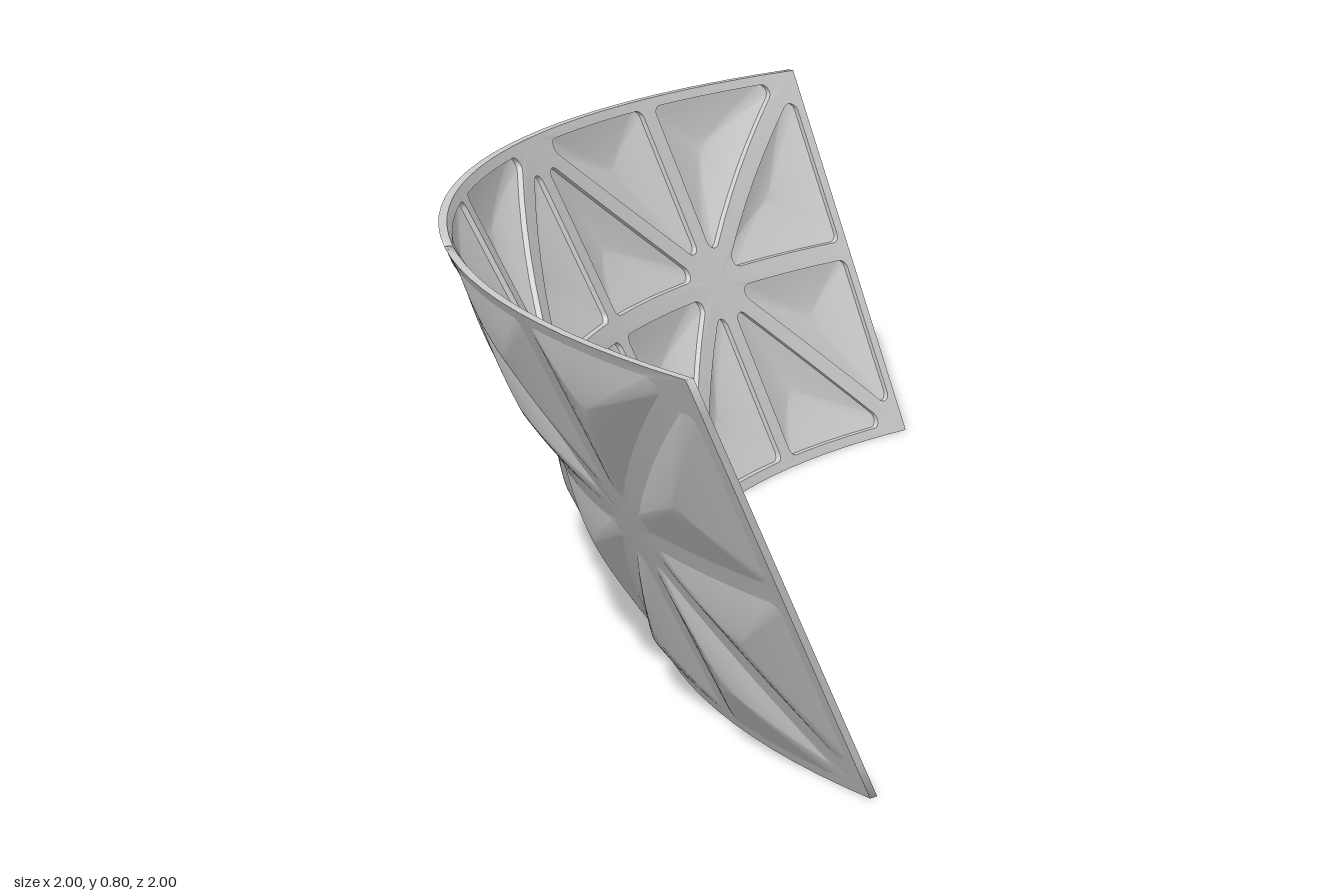
import * as THREE from 'three';
import { mergeGeometries, mergeVertices } from 'three/addons/utils/BufferGeometryUtils.js';

const HEIGHT = 0.8, R_BOTTOM = 1.6, R_TOP = 2, R_MID = 1.8;
const SLANT = Math.hypot(HEIGHT, R_TOP - R_BOTTOM);
const BAY = Math.PI / 6;        // each bay spans 30 degrees
const THICK = 0.016;            // wall thickness at the struts
const SKIN = 0.004;             // thickness of the pillow skin
const MARGIN = 0.022, CORNER = 0.02, BULGE = 0.028;
const EDGE_STEPS = 6, ARC_STEPS = 5, RINGS = 6;

// Unrolled wall coordinates (a along the arc, w up the slope) and outward offset d
function onWall(a, w, d) {
  const angle = a / R_MID, f = w / SLANT;
  const r = R_BOTTOM + (R_TOP - R_BOTTOM) * f + d;
  return [1 - r * Math.sin(angle), HEIGHT * f, 1 - r * Math.cos(angle)];
}

// Joins closed or open rows of wall points into one surface
function strip(rows, inward, closed = true) {
  const n = rows[0].length, index = [];
  for (let j = 0; j < rows.length - 1; j++) {
    for (let k = 0; k < (closed ? n : n - 1); k++) {
      const a = j * n + k, b = j * n + (k + 1) % n, c = b + n, d = a + n;
      if (inward) index.push(a, c, b, a, d, c);
      else index.push(a, b, c, a, c, d);
    }
  }
  const g = new THREE.BufferGeometry();
  g.setAttribute('position', new THREE.Float32BufferAttribute(rows.flat().flatMap(p => onWall(...p)), 3));
  g.setIndex(index);
  return g;
}

const atDepth = (points, d) => points.map(p => [p.x, p.y, d]);

// Matching outlines of a triangle: its border and the rounded opening inside it
function outlines(tri) {
  const side = i => tri[(i + 1) % 3].distanceTo(tri[(i + 2) % 3]);
  const len = [0, 1, 2].map(side), sum = len[0] + len[1] + len[2];
  const incentre = new THREE.Vector2();
  tri.forEach((p, i) => incentre.addScaledVector(p, len[i] / sum));
  const area = tri[1].clone().sub(tri[0]).cross(tri[2].clone().sub(tri[0])) / 2;
  const inRadius = 2 * area / sum;
  const core = tri.map(p => incentre.clone().lerp(p, 1 - (MARGIN + CORNER) / inRadius));
  const normalAngle = i => {
    const e = tri[(i + 1) % 3].clone().sub(tri[i % 3]);
    return Math.atan2(-e.x, e.y);
  };
  const border = [], opening = [];
  for (let i = 0; i < 3; i++) {
    const from = normalAngle(i + 2), to = normalAngle(i);
    const turn = (to - from + Math.PI * 4) % (Math.PI * 2);
    for (let k = 0; k <= ARC_STEPS; k++) {
      const t = from + turn * k / ARC_STEPS;
      border.push(tri[i]);
      opening.push(core[i].clone().add(new THREE.Vector2(Math.cos(t), Math.sin(t)).multiplyScalar(CORNER)));
    }
    const next = (i + 1) % 3;
    const push = new THREE.Vector2(Math.cos(to), Math.sin(to)).multiplyScalar(CORNER);
    for (let k = 1; k < EDGE_STEPS; k++) {
      border.push(tri[i].clone().lerp(tri[next], k / EDGE_STEPS));
      opening.push(core[i].clone().lerp(core[next], k / EDGE_STEPS).add(push));
    }
  }
  return { border, opening };
}

// Pillow surface rising from the opening to a soft peak at the triangle's middle
function pillow(opening, centre, base, inward) {
  const rows = [];
  for (let j = 0; j <= RINGS; j++) {
    const t = 1 - j / RINGS;
    rows.push(atDepth(opening.map(p => centre.clone().lerp(p, t)), base + BULGE * (1 - Math.pow(t, 1.4))));
  }
  return strip(rows, inward);
}

// One wall section made of whole bays, with frames, recess walls, pillows and rim
function wallSection(name, firstBay, bays, startGap, endGap) {
  const frame = [], step = [], cushion = [], rim = [];
  const a0 = firstBay * BAY * R_MID + startGap;
  const a1 = (firstBay + bays) * BAY * R_MID - endGap;
  const width = (a1 - a0) / bays;

  for (let b = 0; b < bays; b++) {
    const l = a0 + b * width, m = l + width / 2, r = l + width;
    const hub = new THREE.Vector2(m, SLANT / 2);
    const ringPoints = [[l, 0], [m, 0], [r, 0], [r, SLANT / 2], [r, SLANT], [m, SLANT], [l, SLANT], [l, SLANT / 2]]
      .map(p => new THREE.Vector2(...p));
    // Eight triangles around the hub
    for (let i = 0; i < 8; i++) {
      const tri = [hub, ringPoints[i], ringPoints[(i + 1) % 8]];
      const { border, opening } = outlines(tri);
      const centre = tri[0].clone().add(tri[1]).add(tri[2]).divideScalar(3);
      frame.push(strip([atDepth(border, 0), atDepth(opening, 0)], false));
      frame.push(strip([atDepth(border, -THICK), atDepth(opening, -THICK)], true));
      step.push(strip([atDepth(opening, -THICK), atDepth(opening, -SKIN)], true));
      cushion.push(pillow(opening, centre, 0, false));
      cushion.push(pillow(opening, centre, -SKIN, true));
    }
  }

  // Rim faces along bottom, end, top and start
  const corners = [[a0, 0], [a1, 0], [a1, SLANT], [a0, SLANT]].map(p => new THREE.Vector2(...p));
  for (let i = 0; i < 4; i++) {
    const n = i % 2 ? 2 * EDGE_STEPS : 2 * EDGE_STEPS * bays, line = [];
    for (let k = 0; k <= n; k++) line.push(corners[i].clone().lerp(corners[(i + 1) % 4], k / n));
    rim.push(strip([atDepth(line, -THICK), atDepth(line, 0)], false, false));
  }

  const group = new THREE.Group();
  group.name = name;
  const material = new THREE.MeshStandardMaterial({ color: 0xcccccc, side: THREE.DoubleSide });
  for (const [part, list] of Object.entries({ strutFrame: frame, recessWalls: step, pillowPanels: cushion, rim })) {
    const g = mergeVertices(mergeGeometries(list), 1e-5);
    g.computeVertexNormals();
    const mesh = new THREE.Mesh(g, material);
    mesh.name = part;
    group.add(mesh);
  }
  return group;
}

export function createModel() {
  const model = new THREE.Group();
  model.name = 'curvedWall';
  // A narrow seam separates the double section from the single one
  model.add(wallSection('doubleSection', 0, 2, 0, 0.002));
  model.add(wallSection('singleSection', 2, 1, 0.002, 0));
  return model;
}
